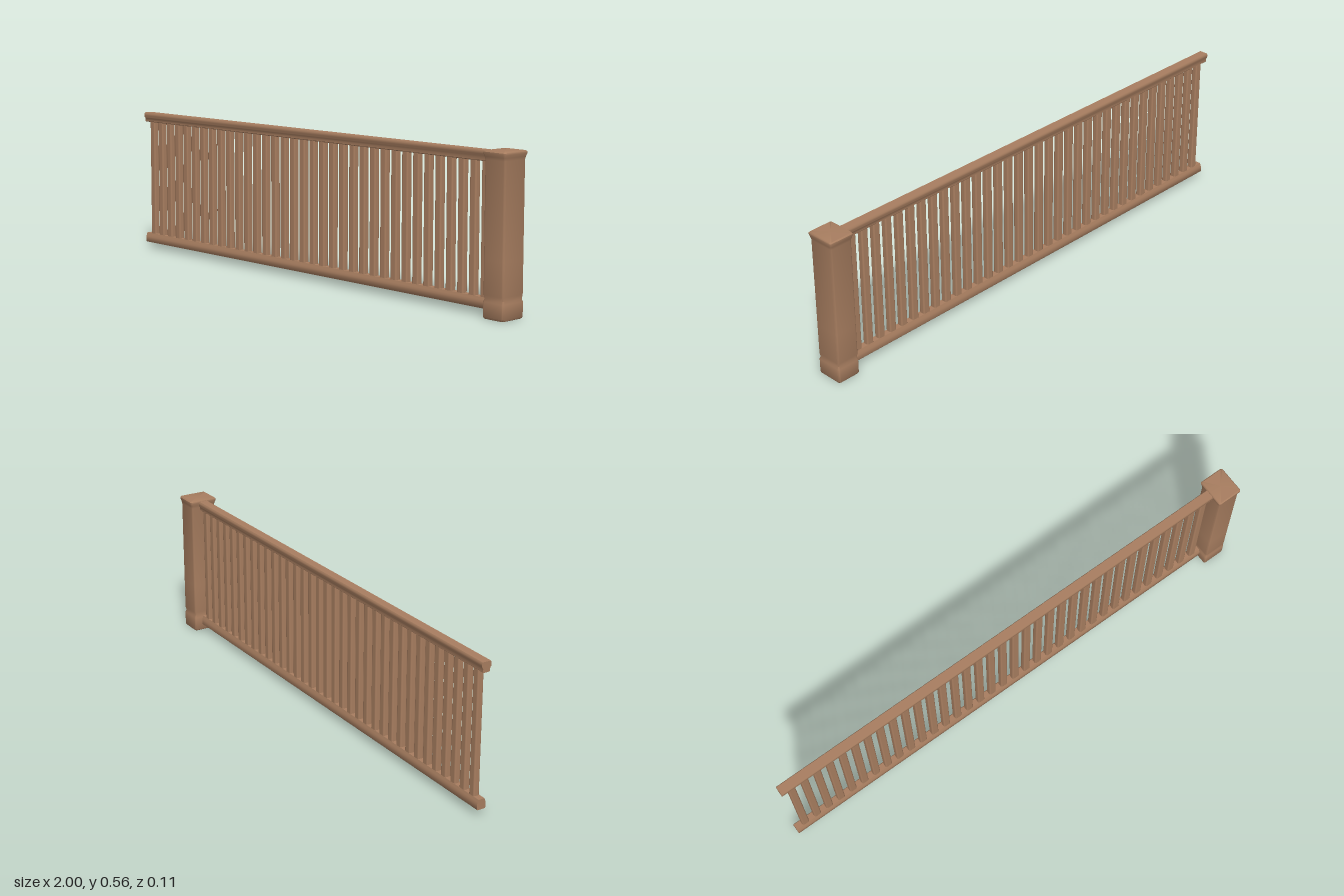
import * as THREE from 'three';
import { toCreasedNormals } from 'three/addons/utils/BufferGeometryUtils.js';
import { RoundedBoxGeometry } from 'three/addons/geometries/RoundedBoxGeometry.js';

const Z = -0.003; // centre line of the railing panel

// Square column with rounded corners, lofted through [y, halfX, halfZ] rings
function loftColumn(rings, radius = 0.007, steps = 3) {
  const pos = [], index = [];
  const n = 4 * (steps + 1);
  for (const [y, hx, hz] of rings) {
    const r = Math.min(radius, hx, hz);
    for (let c = 0; c < 4; c++) {
      const sx = c === 0 || c === 3 ? 1 : -1, sz = c < 2 ? 1 : -1;
      for (let i = 0; i <= steps; i++) {
        const t = (c + i / steps) * Math.PI / 2;
        pos.push(sx * (hx - r) + r * Math.cos(t), y, sz * (hz - r) + r * Math.sin(t));
      }
    }
  }
  for (let k = 0; k < rings.length - 1; k++) {
    for (let i = 0; i < n; i++) {
      const a = k * n + i, b = k * n + (i + 1) % n;
      index.push(a, a + n, b, b, a + n, b + n);
    }
  }
  const g = new THREE.BufferGeometry();
  g.setAttribute('position', new THREE.Float32BufferAttribute(pos, 3));
  g.setIndex(index);
  return toCreasedNormals(g, 0.7);
}

// Rail extruded along x from a half profile of [halfDepth, y] points, bottom to top
function railGeometry(half, x0, x1) {
  const points = [
    ...half.map(([d, y]) => new THREE.Vector2(d, y)),
    ...half.slice().reverse().map(([d, y]) => new THREE.Vector2(-d, y)),
  ];
  const g = new THREE.ExtrudeGeometry(new THREE.Shape(points), { depth: x1 - x0, bevelEnabled: false });
  g.rotateY(Math.PI / 2);
  g.translate(x0, 0, Z);
  return toCreasedNormals(g, 0.7);
}

export function createModel() {
  const model = new THREE.Group();
  model.name = 'railing';
  const wood = new THREE.MeshStandardMaterial({ color: 0xa87e60 });
  wood.name = 'brown wood';

  const add = (geometry, name, parent = model) => {
    const mesh = new THREE.Mesh(geometry, wood);
    mesh.name = name;
    parent.add(mesh);
    return mesh;
  };

  // End post with a plinth groove at the foot and a flared cap
  const post = add(loftColumn([
    [0, 0, 0], [0, 0.041, 0.047], [0.002, 0.044, 0.050], [0.007, 0.046, 0.052],
    [0.058, 0.046, 0.052], [0.068, 0.043, 0.049], [0.082, 0.045, 0.0515],
    [0.2, 0.045, 0.0515], [0.535, 0.045, 0.0515], [0.545, 0.047, 0.0535],
    [0.555, 0.050, 0.057], [0.561, 0.050, 0.057], [0.565, 0.047, 0.053], [0.565, 0, 0],
  ]), 'endPost');
  post.position.set(0.949, 0, -0.001);

  // Top handrail: wide cap over a narrower band
  add(railGeometry([
    [0.011, 0.522], [0.014, 0.525], [0.014, 0.536], [0.018, 0.541],
    [0.019, 0.547], [0.019, 0.555], [0.016, 0.560],
  ], -1, 0.91), 'topRail');

  // Bottom rail with softened edges
  add(railGeometry([
    [0.015, 0.024], [0.018, 0.028], [0.018, 0.046], [0.015, 0.054], [0.012, 0.062],
  ], -1, 0.91), 'bottomRail');

  // Evenly spaced balusters
  const balusters = new THREE.Group();
  balusters.name = 'balusters';
  model.add(balusters);
  const barGeometry = new RoundedBoxGeometry(0.029, 0.49, 0.024, 2, 0.006);
  const count = 35;
  for (let i = 0; i < count; i++) {
    const bar = add(barGeometry, 'baluster', balusters);
    bar.position.set(THREE.MathUtils.lerp(-0.958, 0.868, i / (count - 1)), 0.292, Z);
  }
  return model;
}
